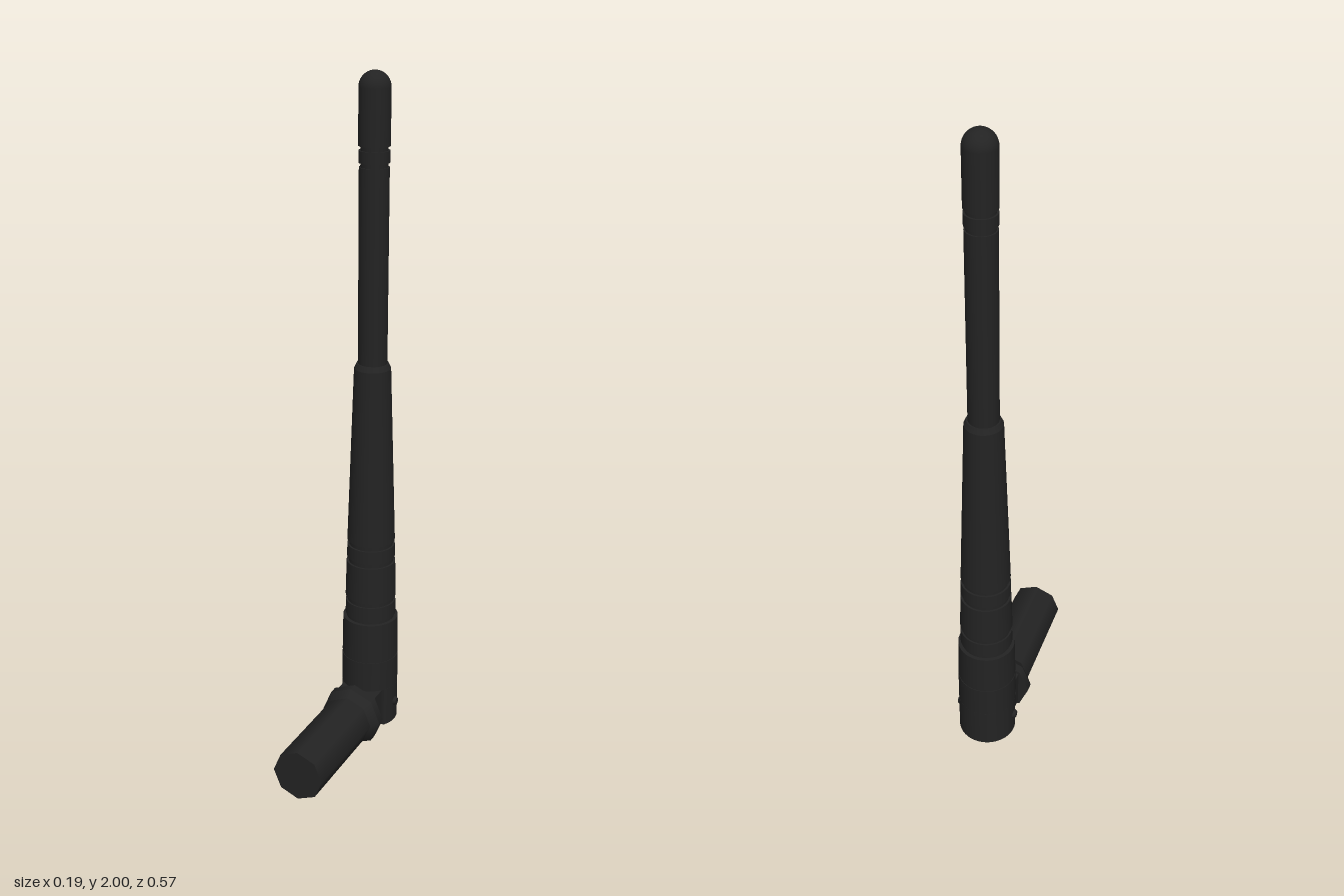
import * as THREE from 'three';

const AXIS_Z = -0.198; // mast axis
const PLUG_Y = 0.095; // connector axis

export function createModel() {
  const model = new THREE.Group();
  model.name = 'antenna';
  const black = new THREE.MeshStandardMaterial({ color: 0x232323 });
  black.name = 'black plastic';

  const add = (name, geometry, x, y, z, parent = model) => {
    const mesh = new THREE.Mesh(geometry, black);
    mesh.name = name;
    mesh.position.set(x, y, z);
    parent.add(mesh);
    return mesh;
  };

  // Mast: stacked round sections [name, bottom y, top y, bottom radius, top radius]
  const mast = new THREE.Group();
  mast.name = 'mast';
  mast.position.z = AXIS_Z;
  model.add(mast);
  const sections = [
    ['hingeCollar', 0.16, 0.257, 0.085, 0.085],
    ['collarSeam', 0.257, 0.262, 0.083, 0.083],
    ['upperCollar', 0.262, 0.385, 0.085, 0.083],
    ['groove', 0.385, 0.395, 0.072, 0.072],
    ['gripRing', 0.395, 0.44, 0.076, 0.075],
    ['groove', 0.44, 0.455, 0.07, 0.07],
    ['gripBand', 0.455, 0.57, 0.076, 0.073],
    ['groove', 0.57, 0.585, 0.067, 0.067],
    ['gripRing', 0.585, 0.625, 0.072, 0.071],
    ['groove', 0.625, 0.64, 0.065, 0.065],
    ['taperedSleeve', 0.64, 1.175, 0.071, 0.053],
    ['sleeveLip', 1.175, 1.19, 0.053, 0.046],
    ['whip', 1.19, 1.745, 0.042, 0.042],
    ['groove', 1.745, 1.757, 0.038, 0.038],
    ['tipRing', 1.757, 1.79, 0.043, 0.043],
    ['groove', 1.79, 1.802, 0.038, 0.038],
    ['tip', 1.802, 1.956, 0.044, 0.044],
  ];
  for (const [name, y0, y1, r0, r1] of sections) {
    add(name, new THREE.CylinderGeometry(r1, r0, y1 - y0, 32), 0, (y0 + y1) / 2, 0, mast);
  }
  add('tipDome', new THREE.SphereGeometry(0.044, 32, 10, 0, Math.PI * 2, 0, Math.PI / 2), 0, 1.956, 0, mast);

  // Hinge foot: round, cut flat on the front
  const radius = 0.085;
  const cut = Math.asin(0.048 / radius);
  const footShape = new THREE.Shape();
  footShape.absarc(0, 0, radius, -cut, Math.PI + cut, false);
  const foot = new THREE.ExtrudeGeometry(footShape, { depth: 0.125, bevelEnabled: false, curveSegments: 32 });
  foot.rotateX(-Math.PI / 2);
  add('hingeFoot', foot, 0, 0.035, 0, mast);

  // Hinge pin heads on both sides
  for (const side of [-1, 1]) {
    const pin = new THREE.CylinderGeometry(0.01, 0.017, 0.014, 12);
    pin.rotateZ(-side * Math.PI / 2);
    add('hingePin', pin, side * 0.086, PLUG_Y + 0.005, 0, mast);
  }

  // Hinge tongue joining mast and connector
  add('hingeTongue', new THREE.BoxGeometry(0.126, 0.115, 0.1), 0, 0.098, -0.13);

  // Eight-sided connector lying along z
  const along = (name, z0, z1, r0, r1) => {
    const geometry = new THREE.CylinderGeometry(r1, r0, z1 - z0, 8);
    geometry.rotateX(Math.PI / 2);
    add(name, geometry, 0, PLUG_Y, (z0 + z1) / 2);
  };
  along('connectorFlange', -0.09, -0.064, 0.095, 0.095);
  along('flangeChamfer', -0.064, -0.038, 0.095, 0.077);
  along('connectorBarrel', -0.038, 0.283, 0.077, 0.077);

  return model;
}
